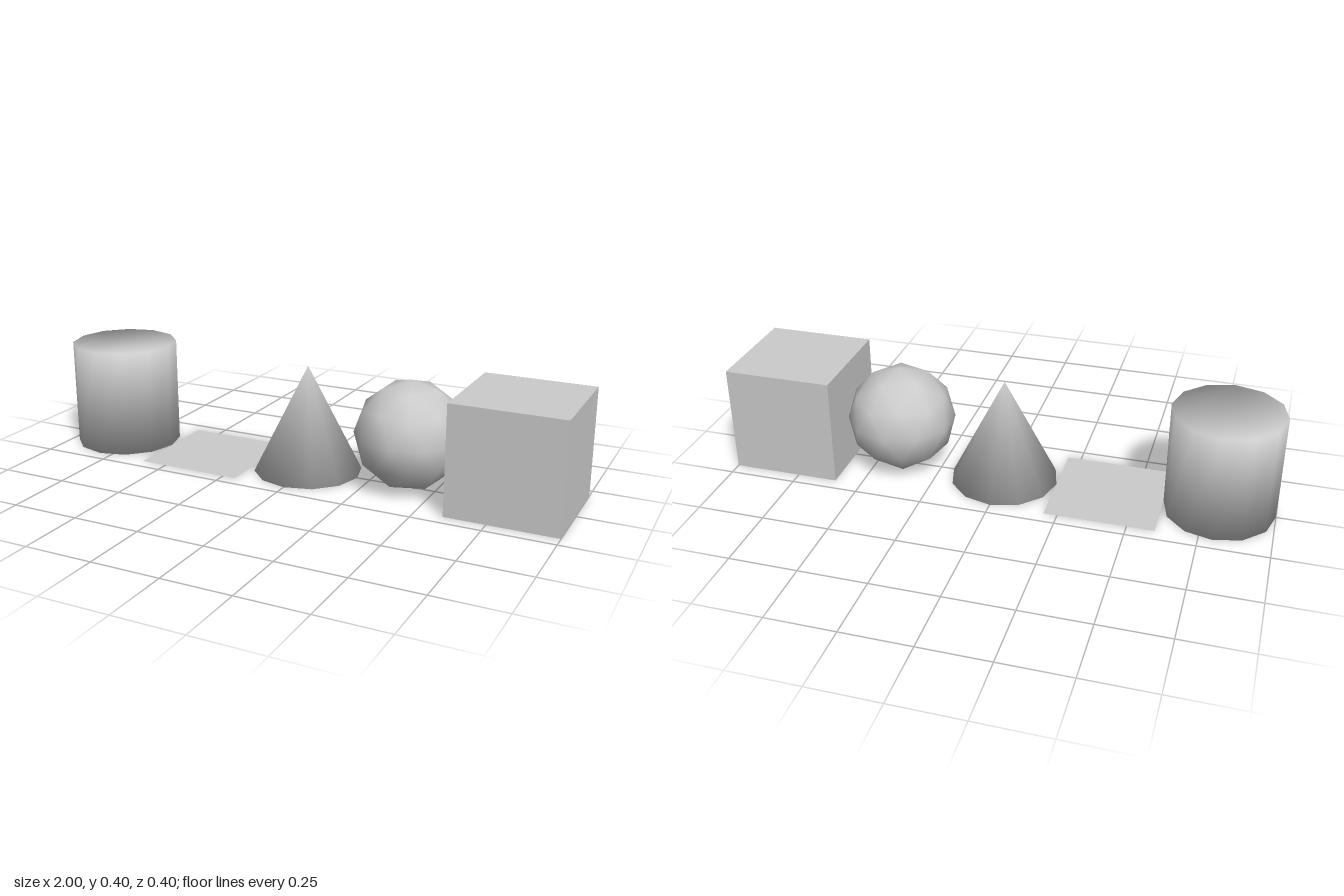
import * as THREE from 'three';

const SIDES = 12;
const R = 0.2;
const H = 0.4;

// Smooth normals over shared vertices, each face weighted by its corner angle
function smoothByAngle(geometry) {
  const pos = geometry.attributes.position;
  const index = geometry.index.array;
  const normals = Array.from({ length: pos.count }, () => new THREE.Vector3());
  const point = (i) => new THREE.Vector3().fromBufferAttribute(pos, i);
  for (let f = 0; f < index.length; f += 3) {
    for (let k = 0; k < 3; k++) {
      const i = index[f + k];
      const a = point(index[f + ((k + 1) % 3)]).sub(point(i));
      const b = point(index[f + ((k + 2) % 3)]).sub(point(i));
      const n = new THREE.Vector3().crossVectors(a, b).normalize();
      normals[i].addScaledVector(n, a.angleTo(b));
    }
  }
  const flat = normals.flatMap((n) => n.normalize().toArray());
  geometry.setAttribute('normal', new THREE.Float32BufferAttribute(flat, 3));
  return geometry;
}

// Closed round solid with shared rim vertices; a cone when pointed is true
function roundSolid(pointed) {
  const positions = [];
  const index = [];
  const ring = (y) => {
    for (let i = 0; i < SIDES; i++) {
      const a = (i / SIDES) * Math.PI * 2;
      positions.push(R * Math.sin(a), y, R * Math.cos(a));
    }
  };
  ring(0);
  if (pointed) positions.push(0, H, 0);
  else ring(H);

  // Walls
  for (let i = 0; i < SIDES; i++) {
    const j = (i + 1) % SIDES;
    if (pointed) index.push(i, j, SIDES);
    else index.push(i, j, SIDES + j, i, SIDES + j, SIDES + i);
  }
  // End caps
  for (let i = 1; i < SIDES - 1; i++) {
    index.push(0, i + 1, i);
    if (!pointed) index.push(SIDES, SIDES + i, SIDES + i + 1);
  }
  const geometry = new THREE.BufferGeometry();
  geometry.setAttribute('position', new THREE.Float32BufferAttribute(positions, 3));
  geometry.setIndex(index);
  return smoothByAngle(geometry);
}

export function createModel() {
  const group = new THREE.Group();
  const grey = new THREE.MeshStandardMaterial({ color: 0xcccccc });
  const thin = new THREE.MeshStandardMaterial({ color: 0xcccccc, side: THREE.DoubleSide });

  const add = (name, geometry, x, y, material = grey) => {
    const mesh = new THREE.Mesh(geometry, material);
    mesh.name = name;
    mesh.position.set(x, y, 0);
    group.add(mesh);
  };

  // Icosphere standing on one of its vertices
  const ball = new THREE.IcosahedronGeometry(R, 1);
  ball.rotateZ(-Math.atan(2 / (1 + Math.sqrt(5))));

  // Row of basic solids
  add('cylinder', roundSolid(false), -0.8, 0);
  add('plane', new THREE.PlaneGeometry(H, H).rotateX(-Math.PI / 2), -0.4, 0, thin);
  add('cone', roundSolid(true), 0, 0);
  add('sphere', ball, 0.4, R);
  add('cube', new THREE.BoxGeometry(H, H, H), 0.8, R);

  return group;
}
